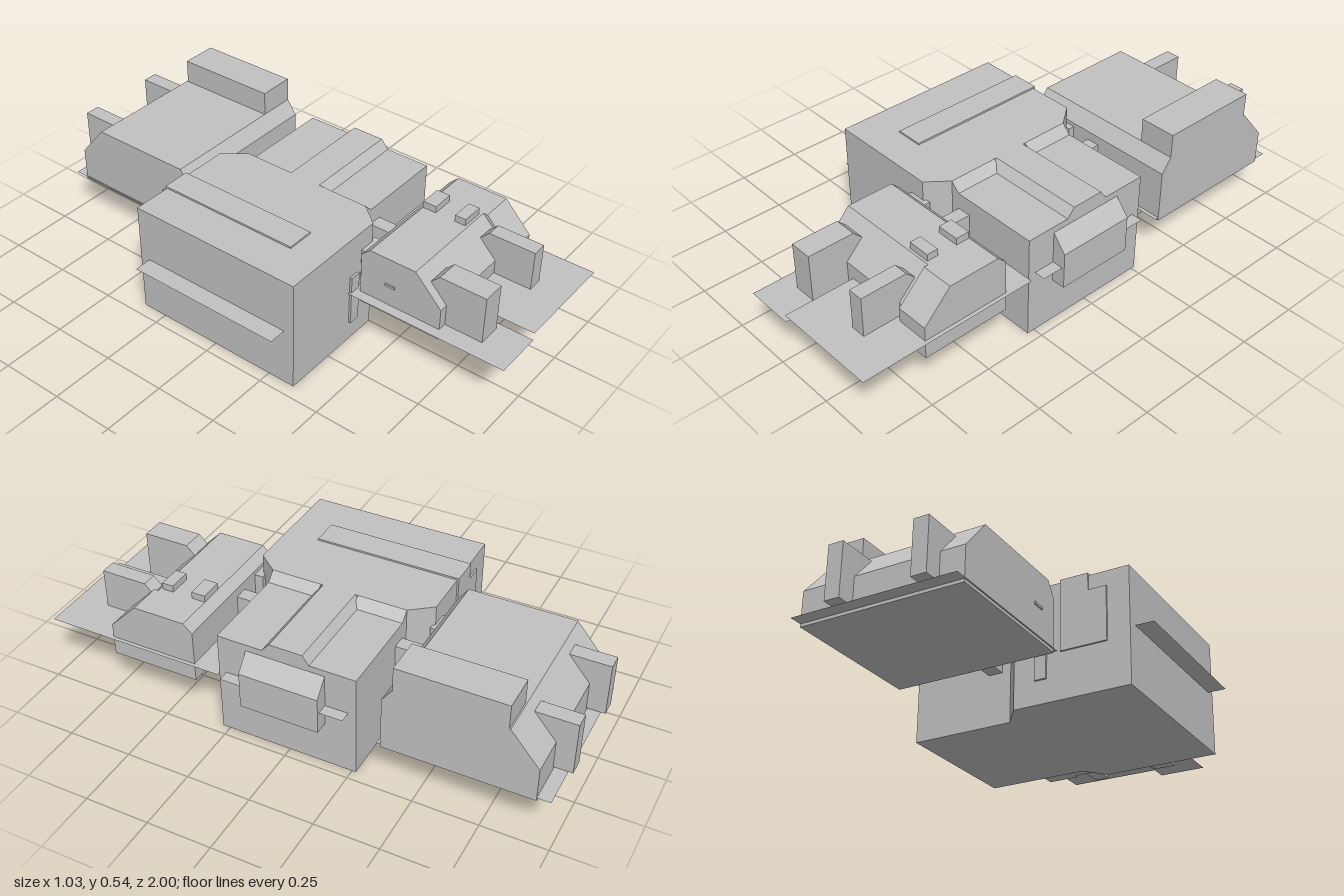
import * as THREE from 'three';

export function createModel() {
  const model = new THREE.Group();
  model.name = 'blockyBuilding';
  const grey = new THREE.MeshStandardMaterial({ color: 0xc0c0c0, side: THREE.DoubleSide });
  grey.name = 'plainGrey';

  const add = (name, geometry) => {
    const mesh = new THREE.Mesh(geometry, grey);
    mesh.name = name;
    model.add(mesh);
  };
  // Box given by its limits on each axis
  const box = (name, x0, x1, y0, y1, z0, z1) => {
    const g = new THREE.BoxGeometry(x1 - x0, y1 - y0, z1 - z0);
    g.translate((x0 + x1) / 2, (y0 + y1) / 2, (z0 + z1) / 2);
    add(name, g);
  };
  const extrude = (points, depth) => new THREE.ExtrudeGeometry(
    new THREE.Shape(points.map(([a, b]) => new THREE.Vector2(a, b))),
    { depth, bevelEnabled: false });
  // Profile of [z, y] points drawn out along x
  const alongX = (name, points, x0, x1) =>
    add(name, extrude(points, x1 - x0).rotateY(-Math.PI / 2).translate(x1, 0, 0));
  // Profile of [x, y] points drawn out along z
  const alongZ = (name, points, z0, z1) =>
    add(name, extrude(points, z1 - z0).translate(0, 0, z0));
  // Horizontal sheet
  const sheet = (name, x0, x1, z0, z1, y) => {
    const g = new THREE.PlaneGeometry(x1 - x0, z1 - z0).rotateX(-Math.PI / 2);
    add(name, g.translate((x0 + x1) / 2, y, (z0 + z1) / 2));
  };

  // Main hall with two cut corners
  add('mainHall', extrude([
    [-0.45, -0.35], [0, -0.35], [0.065, -0.265], [0.065, 0.28], [0, 0.36], [-0.45, 0.36],
  ], 0.45).rotateX(Math.PI / 2).translate(0, 0.45, 0));

  // Narrower wing with a raised ridge between two sunken decks
  alongX('sideWing', [
    [-0.265, 0], [-0.265, 0.415], [-0.085, 0.415], [-0.06, 0.45],
    [0.07, 0.45], [0.1, 0.415], [0.28, 0.415], [0.28, 0],
  ], 0.065, 0.46);
  for (const [z0, z1] of [[-0.265, -0.07], [0.08, 0.28]]) {
    alongZ('deckSlope', [[0.065, 0.415], [0.1, 0.415], [0.065, 0.45]], z0, z1);
  }

  // Sloped box on the end of the wing
  alongZ('endBox', [[0.46, 0.18], [0.515, 0.18], [0.515, 0.325], [0.46, 0.39]], -0.145, 0.165);

  // Roof strip folding down over a panel on the back wall
  box('roofStrip', -0.295, -0.185, 0.45, 0.457, -0.357, 0.225);
  box('stripDrop', -0.295, -0.185, 0.38, 0.457, -0.357, -0.35);
  box('backPanel', -0.365, -0.185, 0.18, 0.39, -0.357, -0.35);

  // Front block in two slightly offset pieces
  const frontProfile = (shift) => [
    [0.385, 0.175], [0.385, 0.385], [0.42, 0.418], [0.61 + shift, 0.418],
    [0.72 + shift, 0.305], [0.72 + shift, 0.175],
  ];
  alongX('frontBlock', frontProfile(0), -0.1, 0.33);
  alongX('frontBlockEnd', frontProfile(0.017), 0.33, 0.46);
  box('frontBlockRib', -0.105, -0.1, 0.3, 0.31, 0.49, 0.53);
  for (const [z0, z1] of [[0.42, 0.475], [0.555, 0.6]]) {
    box('roofBump', 0.225, 0.315, 0.41, 0.445, z0, z1);
  }

  // Rear block with a tall raised end
  alongX('rearBlock', [
    [-0.365, 0.175], [-0.365, 0.385], [-0.405, 0.44],
    [-0.82, 0.44], [-0.93, 0.31], [-0.93, 0.175],
  ], -0.165, 0.475);
  box('rearTower', 0.33, 0.475, 0.43, 0.535, -0.815, -0.405);
  box('rearBlockRib', -0.171, -0.165, 0.3, 0.31, -0.5, -0.45);

  // Posts at both ends
  for (const [x0, x1] of [[-0.065, 0.027], [0.25, 0.31]]) {
    alongX('frontPost', [
      [0.87, 0.2], [0.87, 0.41], [0.685, 0.41], [0.65, 0.375], [0.65, 0.2],
    ], x0, x1);
  }
  for (const [x0, x1] of [[-0.07, -0.01], [0.265, 0.325]]) {
    box('rearPost', x0, x1, 0.2, 0.41, -1, -0.845);
  }

  // Links between the hall and the end blocks, and thin wall panels
  box('frontLink', 0.1, 0.155, 0.2, 0.35, 0.27, 0.39);
  box('rearLink', 0.1, 0.155, 0.2, 0.35, -0.375, -0.26);
  box('frontBridge', -0.065, 0.025, 0.25, 0.37, 0.35, 0.39);
  box('rearBridge', -0.065, 0.025, 0.25, 0.37, -0.37, -0.34);
  box('frontWallPanel', -0.13, -0.085, 0.08, 0.285, 0.36, 0.369);
  box('rearWallPanel', -0.13, -0.085, 0.09, 0.285, -0.358, -0.35);

  // Flat sheets reaching out on all four sides
  sheet('frontSheetRight', -0.14, 0.055, 0.36, 1, 0.22);
  sheet('frontSheetLeft', 0.055, 0.475, 0.28, 1, 0.25);
  sheet('rearSheet', -0.17, 0.475, -0.98, -0.35, 0.187);
  sheet('rightSheet', -0.52, -0.45, -0.31, 0.32, 0.235);
  sheet('leftSheet', 0.46, 0.505, -0.235, 0.25, 0.262);

  return model;
}
